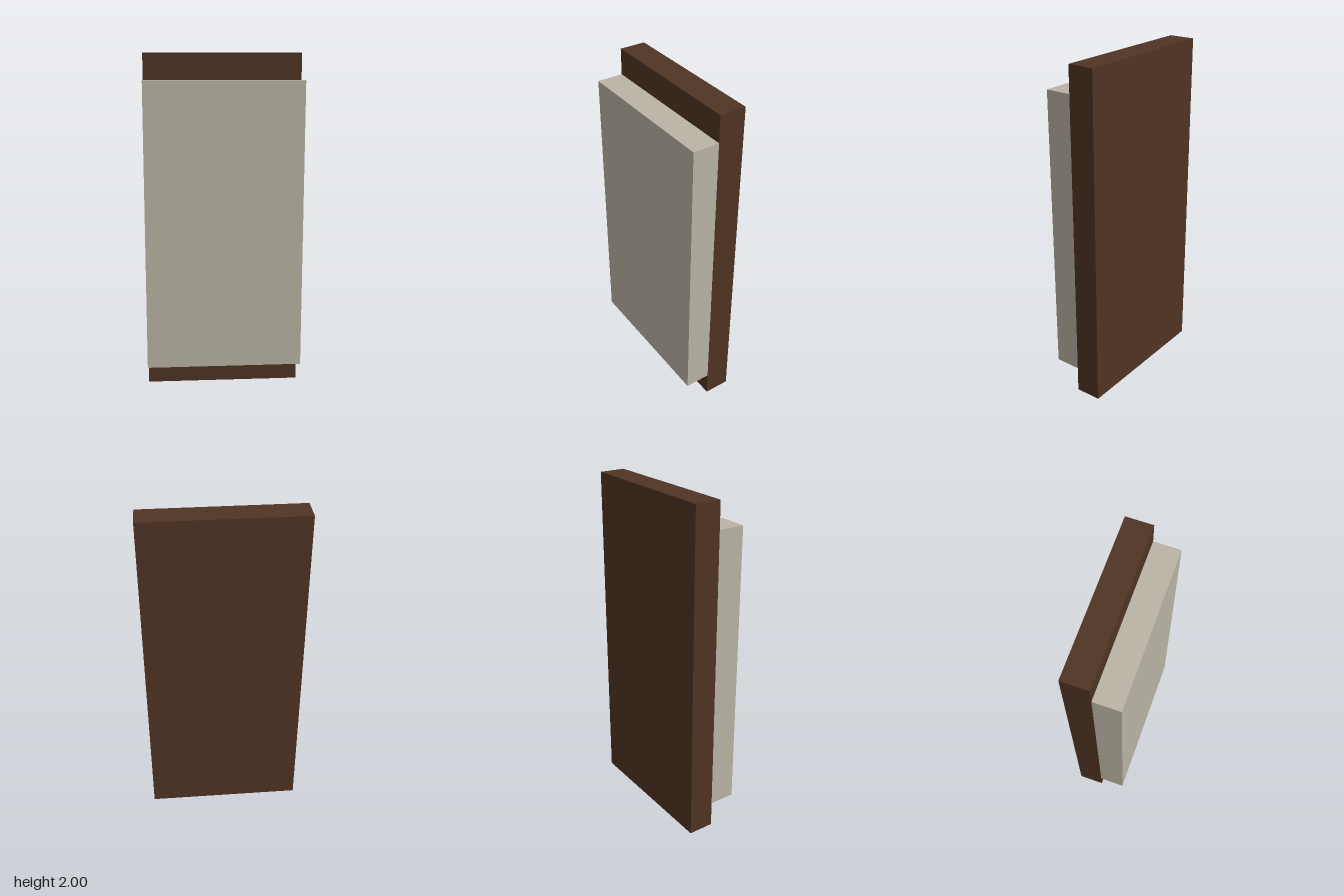
import * as THREE from 'three';

const wood = new THREE.MeshStandardMaterial({ name: 'dark brown', color: 0x4f3423 });
const stone = new THREE.MeshStandardMaterial({ name: 'warm grey', color: 0xbab4a5 });

const WIDTH = 0.92, DEPTH = 0.154;

// Box slab spanning y0..y1, with its back face at z0
function slab(name, material, y0, y1, z0) {
  const mesh = new THREE.Mesh(new THREE.BoxGeometry(WIDTH, y1 - y0, DEPTH), material);
  mesh.name = name;
  mesh.position.set(0, (y0 + y1) / 2, z0 + DEPTH / 2);
  return mesh;
}

export function createModel() {
  const group = new THREE.Group();
  group.name = 'wallPanel';
  // Tall backing board, with the shorter plain face panel on its front
  group.add(slab('backBoard', wood, 0, 2, -DEPTH));
  group.add(slab('frontPanel', stone, 0.155, 1.845, 0));
  return group;
}
